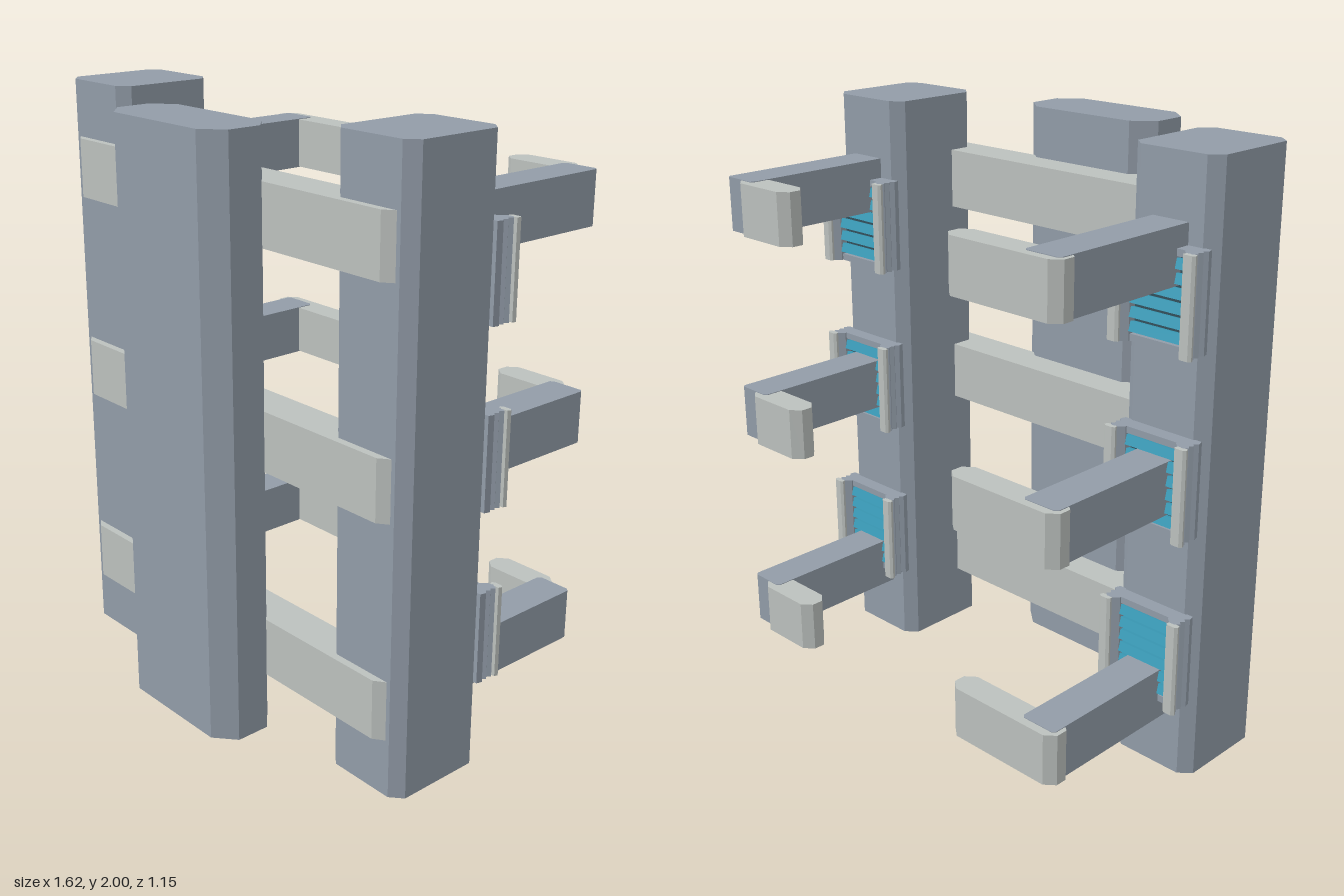
import * as THREE from 'three';

const mat = (name, color) => {
  const m = new THREE.MeshStandardMaterial({ color });
  m.name = name;
  return m;
};

export function createModel() {
  const steel = mat('blue grey steel', 0x929ca8);
  const light = mat('light grey metal', 0xbcc1be);
  const teal = mat('teal slats', 0x3a9dba);
  const dark = mat('dark recess', 0x33505c);
  const root = new THREE.Group();

  // Extrude a plan outline of [x, z] points from y0 to y1
  const prism = (parent, name, pts, y0, y1, material) => {
    const shape = new THREE.Shape(pts.map(([x, z]) => new THREE.Vector2(x, -z)));
    const geo = new THREE.ExtrudeGeometry(shape, { depth: y1 - y0, bevelEnabled: false });
    geo.rotateX(-Math.PI / 2).translate(0, y0, 0);
    const mesh = new THREE.Mesh(geo, material);
    mesh.name = name;
    parent.add(mesh);
    return mesh;
  };

  // Plan rectangle with cut corners; back and front cuts are [cx, cz]
  const cut = (x0, x1, z0, z1, [bx, bz], [fx, fz] = [bx, bz]) => {
    const pts = [];
    if (bx) pts.push([x0, z0 + bz], [x0 + bx, z0], [x1 - bx, z0], [x1, z0 + bz]);
    else pts.push([x0, z0], [x1, z0]);
    if (fx) pts.push([x1, z1 - fz], [x1 - fx, z1], [x0 + fx, z1], [x0, z1 - fz]);
    else pts.push([x1, z1], [x0, z1]);
    return pts;
  };

  const box = (parent, name, x0, x1, y0, y1, z0, z1, material) => {
    const mesh = new THREE.Mesh(new THREE.BoxGeometry(x1 - x0, y1 - y0, z1 - z0), material);
    mesh.position.set((x0 + x1) / 2, (y0 + y1) / 2, (z0 + z1) / 2);
    mesh.name = name;
    parent.add(mesh);
    return mesh;
  };

  // Uprights: a wide front panel and two side columns
  prism(root, 'frontPanel', cut(-0.27, 0.27, 0.34, 0.575, [0.07, 0.06]), 0.03, 1.98, steel);
  for (const s of [-1, 1]) {
    const c = s * 0.655;
    prism(root, s < 0 ? 'rightColumn' : 'leftColumn',
      cut(c - 0.157, c + 0.157, -0.015, 0.34, [0.04, 0.035]), 0, 2, steel);
  }

  // Grooved side rail and its cap, in plan about the bracket centre
  const railPts = [[0.095, -0.01], [0.145, -0.01], [0.15, -0.03], [0.138, -0.042], [0.148, -0.052],
    [0.138, -0.064], [0.148, -0.075], [0.135, -0.088], [0.115, -0.088], [0.095, -0.07]];
  const capPts = [[0.115, -0.087], [0.112, -0.098], [0.122, -0.104], [0.147, -0.104],
    [0.156, -0.097], [0.152, -0.085], [0.13, -0.083]];

  // Slatted bracket on the back of a column
  const bracket = (x, y0, y1) => {
    const g = new THREE.Group();
    g.name = 'bracket';
    g.position.x = x;
    for (const s of [-1, 1]) {
      const flip = (pts) => pts.map(([u, z]) => [s * u, z]);
      prism(g, 'bracketRail', flip(railPts), y0, y1, steel);
      prism(g, 'railCap', flip(capPts), y0, y1, light);
    }
    box(g, 'bracketBack', -0.1, 0.1, y0 + 0.004, y1 - 0.004, -0.045, -0.01, dark);
    box(g, 'lowerLip', -0.1, 0.1, y0, y0 + 0.022, -0.065, -0.01, steel);
    box(g, 'upperLip', -0.1, 0.1, y1 - 0.022, y1, -0.065, -0.01, steel);
    const n = 6, step = (y1 - y0 - 0.044) / n;
    for (let i = 0; i < n; i++) {
      const y = y0 + 0.022 + step * (i + 0.5);
      const slat = box(g, 'slat', -0.1, 0.1, y - step * 0.37, y + step * 0.37, -0.068, -0.048, teal);
      slat.rotation.x = 0.25;
    }
    root.add(g);
  };

  // Three levels of crossbeam, arms, end clamps and brackets
  const levels = [
    { beam: [0.193, 0.393], arm: [0.205, 0.38], bracket: [0.27, 0.58] },
    { beam: [0.905, 1.105], arm: [0.915, 1.09], bracket: [0.85, 1.16] },
    { beam: [1.613, 1.811], arm: [1.627, 1.803], bracket: [1.43, 1.737] },
  ];
  for (const l of levels) {
    prism(root, 'crossbeam', cut(-0.757, 0.757, 0.23, 0.365, [0, 0], [0.035, 0.025]), ...l.beam, light);
    for (const s of [-1, 1]) {
      const c = s * 0.655;
      prism(root, 'arm', cut(c - 0.065, c + 0.065, -0.55, -0.01, [0.01, 0.01], [0, 0]), ...l.arm, steel);
      const [x0, x1] = s < 0 ? [-0.735, -0.305] : [0.395, 0.645];
      prism(root, 'endClamp', cut(x0, x1, -0.578, -0.485, [0.033, 0.027]),
        l.arm[0] + 0.002, l.arm[1] - 0.002, light);
      bracket(c, ...l.bracket);
    }
  }
  return root;
}
